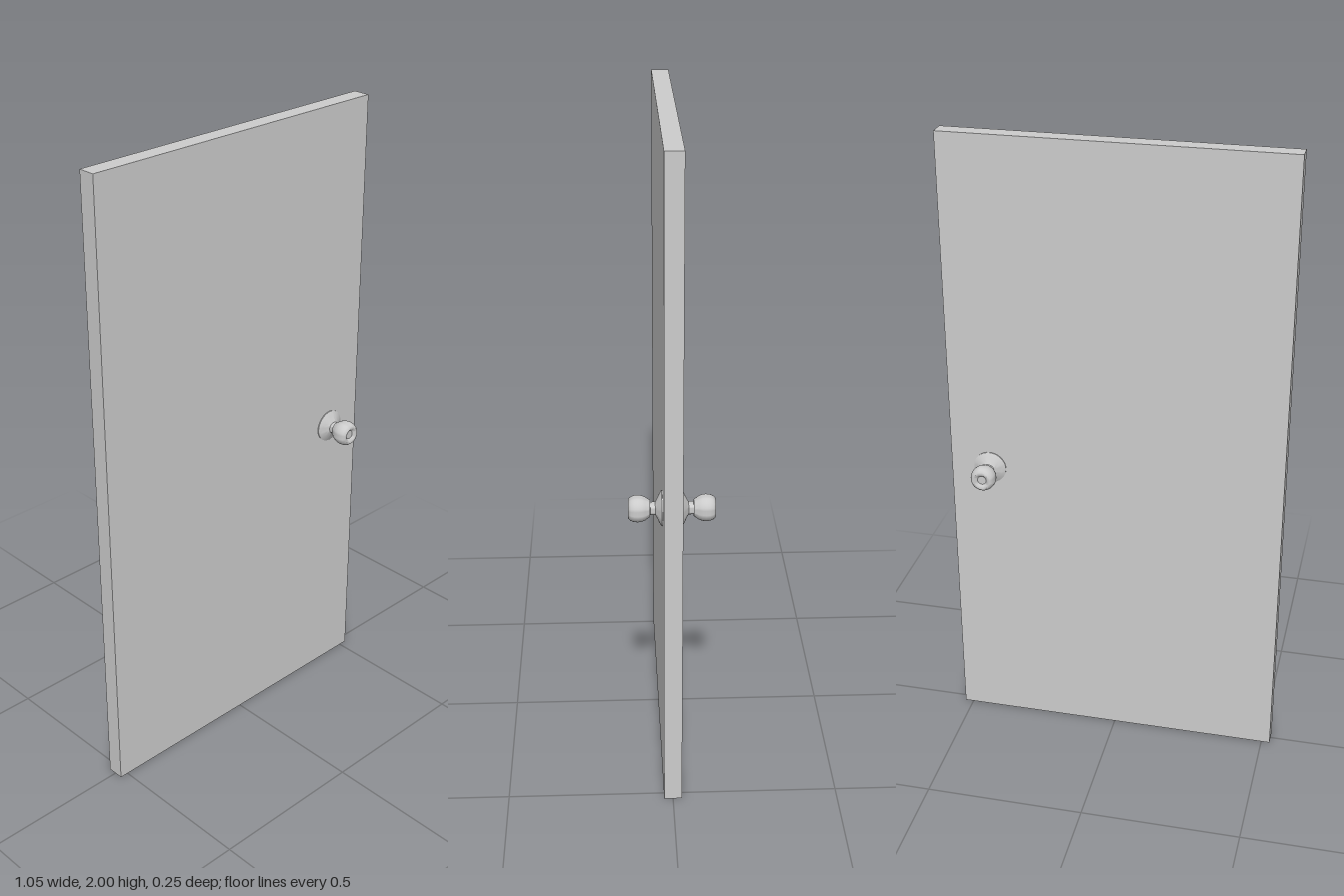
import * as THREE from 'three';
import { toCreasedNormals } from 'three/addons/utils/BufferGeometryUtils.js';

const WIDTH = 1.055, HEIGHT = 2, THICK = 0.054;
const KNOB_X = 0.402, KNOB_Y = 0.93;

// Solid of revolution whose axis points along +z; profile is [radius, z] pairs
function turned(name, profile, material) {
  const points = profile.map(([r, z]) => new THREE.Vector2(r, z));
  const geometry = new THREE.LatheGeometry(points, 32).rotateX(Math.PI / 2);
  const mesh = new THREE.Mesh(toCreasedNormals(geometry, 0.6), material);
  mesh.name = name;
  return mesh;
}

export function createModel() {
  const model = new THREE.Group();
  model.name = 'door';
  const grey = new THREE.MeshStandardMaterial({ color: 0xcccccc });

  // Plain slab
  const panel = new THREE.Mesh(new THREE.BoxGeometry(WIDTH, HEIGHT, THICK), grey);
  panel.name = 'doorPanel';
  panel.position.y = HEIGHT / 2;
  model.add(panel);

  // The same knob on both faces
  for (const [name, turn] of [['frontKnob', 0], ['backKnob', Math.PI]]) {
    const knob = new THREE.Group();
    knob.name = name;
    knob.add(
      // Flared backplate against the door
      turned('rose', [[0.052, 0.026], [0.052, 0.03], [0.04, 0.037], [0.029, 0.042],
        [0.022, 0.046], [0.019, 0.048]], grey),
      turned('neck', [[0.019, 0.044], [0.019, 0.066]], grey),
      // Rounded grip with a dished face and a small centre button
      turned('grip', [[0.015, 0.062], [0.025, 0.063], [0.027, 0.067], [0.034, 0.077],
        [0.038, 0.087], [0.0395, 0.098], [0.0385, 0.109], [0.035, 0.118], [0.029, 0.125],
        [0.026, 0.126], [0.022, 0.125], [0.015, 0.118], [0.014, 0.117], [0, 0.117]], grey),
    );
    knob.position.set(KNOB_X, KNOB_Y, 0);
    knob.rotation.y = turn;
    model.add(knob);
  }
  return model;
}
